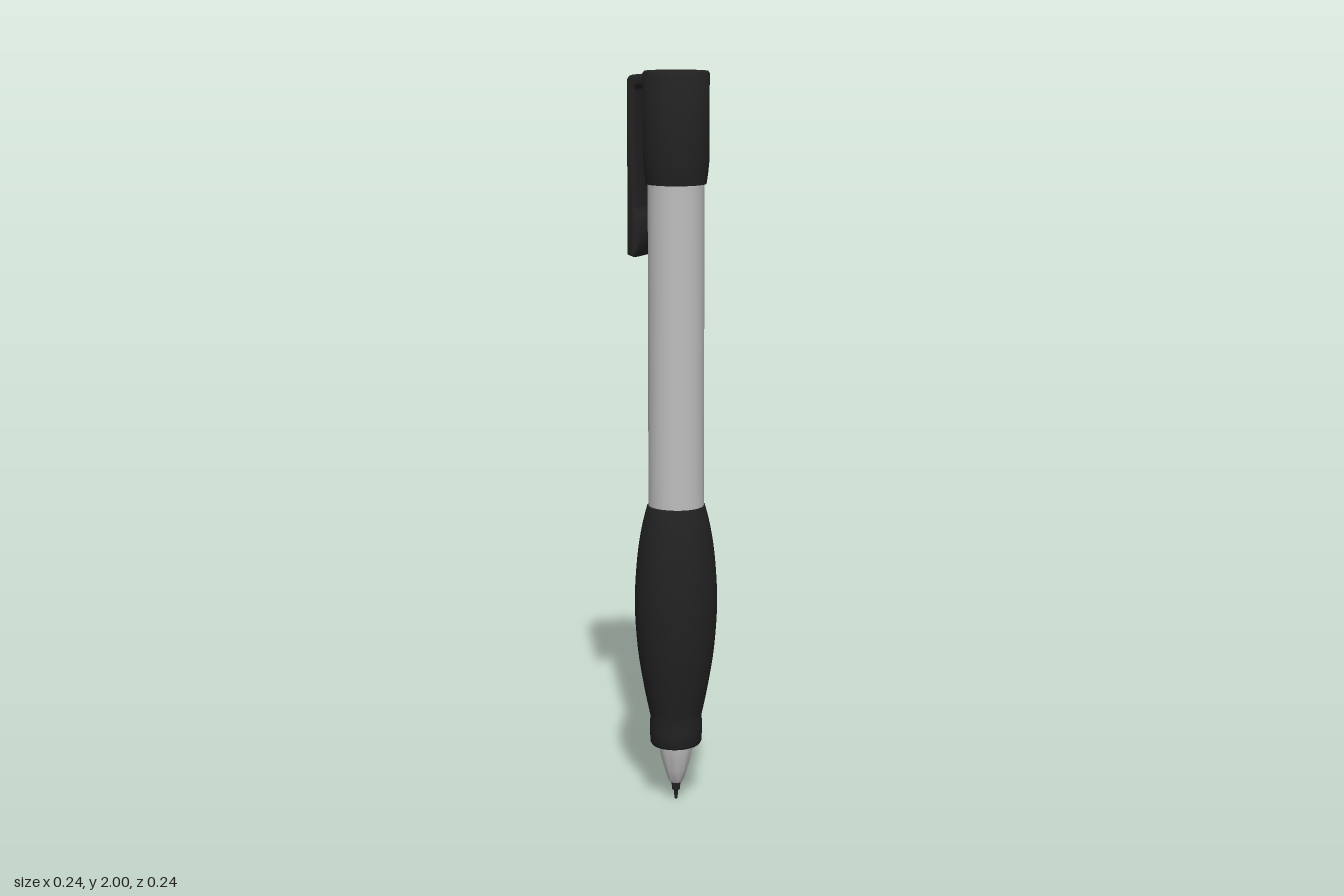
import * as THREE from 'three';
import { toCreasedNormals } from 'three/addons/utils/BufferGeometryUtils.js';

const AXIS_X = 0.0055; // the clip on the right side shifts the barrel axis slightly

const black = new THREE.MeshStandardMaterial({ name: 'black rubber', color: 0x222223 });
const silver = new THREE.MeshStandardMaterial({ name: 'silver', color: 0xbebebe });

// Turned part from [radius, height] pairs, listed bottom to top
function turned(name, material, profile, sides = 32) {
  const points = profile.map(([r, y]) => new THREE.Vector2(r, y));
  const mesh = new THREE.Mesh(toCreasedNormals(new THREE.LatheGeometry(points, sides), 0.6), material);
  mesh.name = name;
  mesh.position.x = AXIS_X;
  return mesh;
}

// Clip: side profile with a top bridge and an inward bulge, extruded across its width
function makeClip() {
  const b = 0.005;
  const s = new THREE.Shape();
  s.moveTo(-0.114, 1.522);
  s.lineTo(-0.114, 1.972);
  s.quadraticCurveTo(-0.114, 1.984, -0.1, 1.985);
  s.lineTo(-0.05, 1.988);
  s.lineTo(-0.05, 1.966);
  s.lineTo(-0.084, 1.966);
  s.quadraticCurveTo(-0.1, 1.966, -0.1, 1.945);
  s.lineTo(-0.1, 1.645);
  s.bezierCurveTo(-0.098, 1.625, -0.084, 1.625, -0.083, 1.6);
  s.lineTo(-0.083, 1.56);
  s.quadraticCurveTo(-0.09, 1.535, -0.101, 1.518);
  s.closePath();
  const geometry = new THREE.ExtrudeGeometry(s, {
    depth: 0.068, bevelEnabled: true, bevelThickness: 0.011, bevelSize: b, bevelSegments: 3, curveSegments: 8,
  });
  geometry.translate(0, 0, -0.0345);
  const mesh = new THREE.Mesh(toCreasedNormals(geometry, 0.7), black);
  mesh.name = 'clip';
  return mesh;
}

export function createModel() {
  const pen = new THREE.Group();
  pen.name = 'pen';

  // Writing tip and metal nose
  pen.add(turned('tip', black, [[0, 0], [0.004, 0.002], [0.006, 0.025], [0.011, 0.03], [0.013, 0.058]], 16));
  pen.add(turned('nose', silver, [
    [0, 0.052], [0.017, 0.052], [0.022, 0.06], [0.032, 0.092], [0.041, 0.125], [0.048, 0.16], [0.049, 0.18],
  ]));

  // Swelling grip, slightly deeper than it is wide
  const swell = new THREE.SplineCurve([
    [0.07, 0.25], [0.086, 0.33], [0.103, 0.44], [0.111, 0.57], [0.105, 0.69], [0.092, 0.78], [0.077, 0.842],
  ].map(([r, y]) => new THREE.Vector2(r, y))).getPoints(24).map((p) => [p.x, p.y]);
  const grip = turned('grip', black, [
    [0.03, 0.167], [0.066, 0.167], [0.07, 0.174], [0.071, 0.215], ...swell, [0.06, 0.846],
  ]);
  grip.scale.z = 1.075;
  pen.add(grip);

  // Barrel
  pen.add(turned('barrel', silver, [[0.0755, 0.82], [0.075, 0.9], [0.075, 1.73]]));

  // End cap with a tapered lower edge
  pen.add(turned('cap', black, [
    [0.07, 1.708], [0.08, 1.708], [0.084, 1.735], [0.087, 1.765], [0.0875, 1.994], [0.084, 2], [0, 2],
  ]));

  pen.add(makeClip());
  return pen;
}
